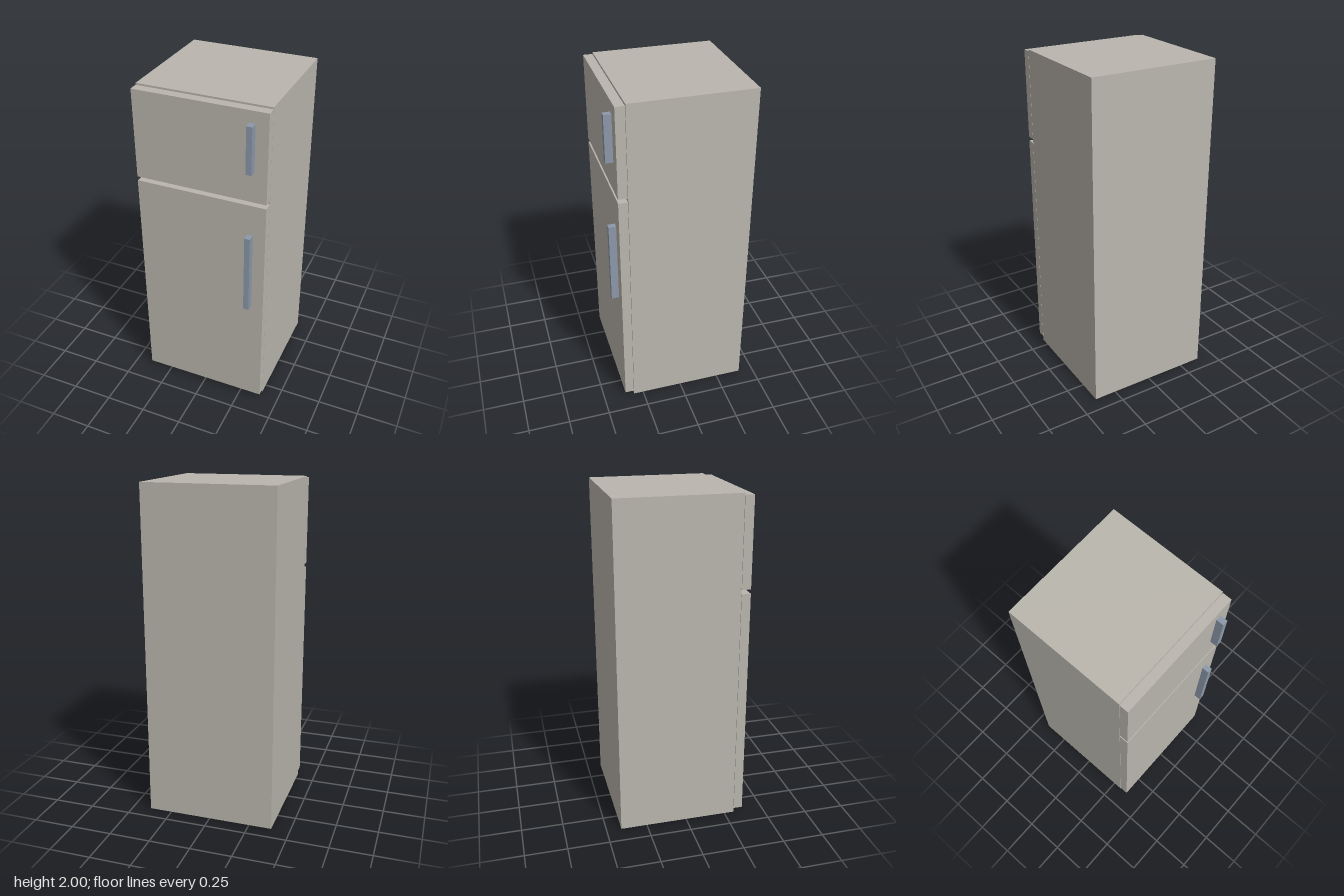
import * as THREE from 'three';

export function createModel() {
  const group = new THREE.Group();
  const enamel = new THREE.MeshStandardMaterial({ color: 0xbab6ae });
  enamel.name = 'warm grey enamel';
  const steel = new THREE.MeshStandardMaterial({ color: 0x8c98aa });
  steel.name = 'blue grey steel';

  const add = (name, geometry, material, x, y, z) => {
    const mesh = new THREE.Mesh(geometry, material);
    mesh.name = name;
    mesh.position.set(x, y, z);
    group.add(mesh);
  };
  // Box given by its lower and upper limits on each axis
  const box = (name, material, [x0, x1], [y0, y1], [z0, z1]) =>
    add(name, new THREE.BoxGeometry(x1 - x0, y1 - y0, z1 - z0), material,
      (x0 + x1) / 2, (y0 + y1) / 2, (z0 + z1) / 2);

  const W = 0.388, inner = 0.348, back = -0.41, front = 0.31;

  // Hollow cabinet: a rectangular tube closed by a back panel
  const outline = new THREE.Shape([
    new THREE.Vector2(-W, 0), new THREE.Vector2(W, 0),
    new THREE.Vector2(W, 2), new THREE.Vector2(-W, 2),
  ]);
  outline.holes.push(new THREE.Path([
    new THREE.Vector2(-inner, 0.06), new THREE.Vector2(-inner, 1.94),
    new THREE.Vector2(inner, 1.94), new THREE.Vector2(inner, 0.06),
  ]));
  add('cabinetShell', new THREE.ExtrudeGeometry(outline,
    { depth: front - back, bevelEnabled: false }), enamel, 0, 0, back);
  box('cabinetBackPanel', enamel, [-inner, inner], [0.06, 1.94], [back, back + 0.04]);

  // Inner shelf with two bottles, glimpsed through the gap between the doors
  box('shelf', enamel, [-inner, inner], [1.18, 1.2], [back + 0.04, 0.25]);
  for (const x of [0.11, 0.22]) {
    add('bottle', new THREE.CylinderGeometry(0.046, 0.046, 0.32, 24), enamel, x, 1.36, 0.1);
  }

  // Doors, each with a bar handle on the model's left
  const doors = [
    ['freezer', [1.461, 1.99], [1.647, 1.922]],
    ['fridge', [0.027, 1.436], [0.747, 1.246]],
  ];
  for (const [name, doorY, handleY] of doors) {
    box(name + 'Door', enamel, [-W, W], doorY, [front + 0.002, 0.366]);
    box(name + 'Handle', steel, [0.282, 0.315], handleY, [0.366, 0.41]);
  }
  return group;
}
